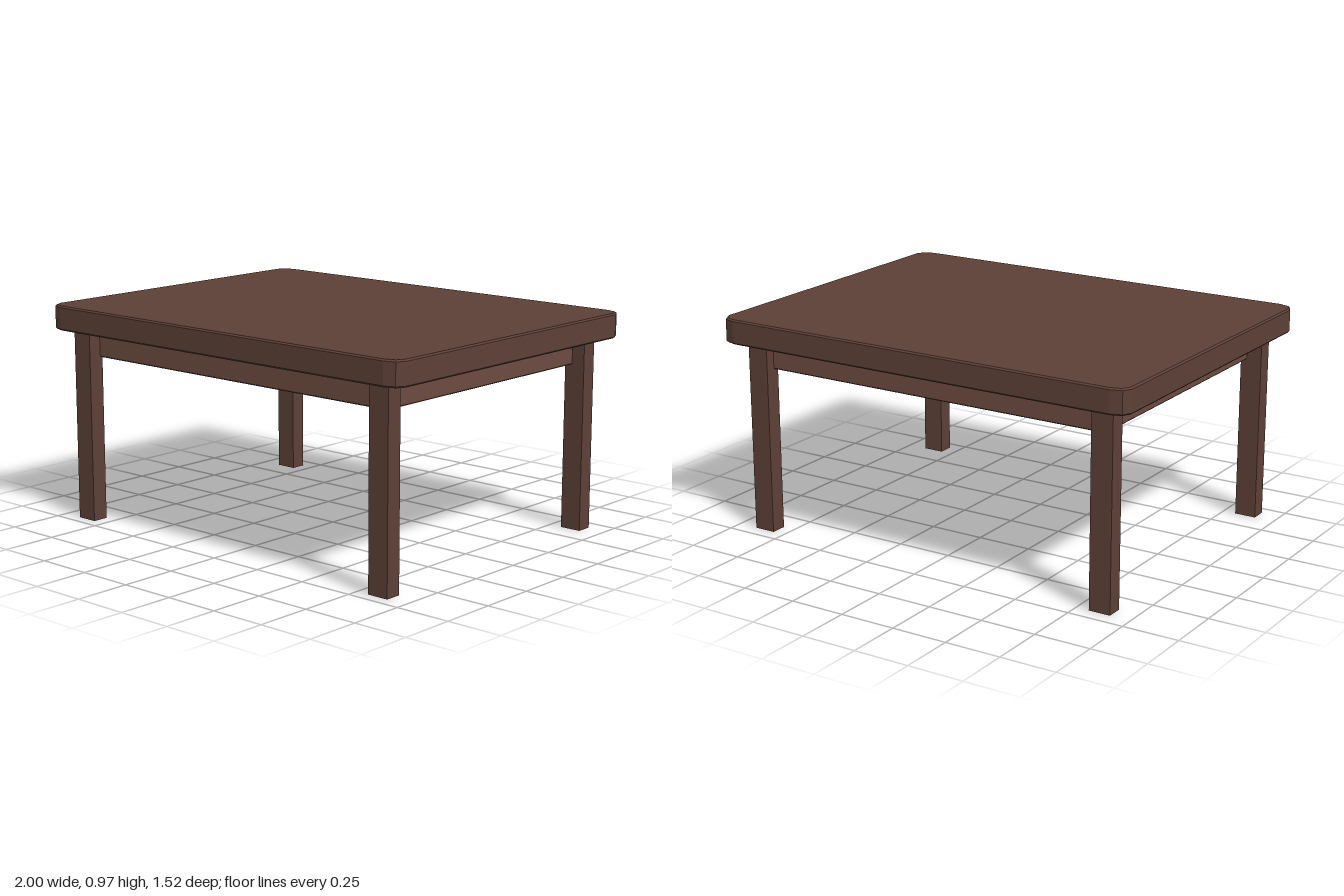
import * as THREE from 'three';

// Rectangle with faceted rounded corners; half sizes hx, hz and corner cuts cx, cz
function roundedOutline(hx, hz, cx, cz, segments) {
  const points = [];
  const corners = [[1, 1, 0], [-1, 1, 1], [-1, -1, 2], [1, -1, 3]];
  for (const [sx, sz, quarter] of corners) {
    for (let i = 0; i <= segments; i++) {
      const a = (quarter + i / segments) * Math.PI / 2;
      points.push(new THREE.Vector2(
        sx * (hx - cx) + cx * Math.cos(a),
        sz * (hz - cz) + cz * Math.sin(a)));
    }
  }
  return points;
}

// Upright slab with softened edges, from y0 to y1
function slab(shape, y0, y1, bevel) {
  const geometry = new THREE.ExtrudeGeometry(shape, {
    depth: y1 - y0 - 2 * bevel, bevelEnabled: true, bevelThickness: bevel,
    bevelSize: bevel, bevelOffset: -bevel, bevelSegments: 1, curveSegments: 1,
  });
  geometry.rotateX(-Math.PI / 2);
  geometry.translate(0, y0 + bevel, 0);
  return geometry;
}

export function createModel() {
  const group = new THREE.Group();
  const darkWood = new THREE.MeshStandardMaterial({ color: 0x5d4037, flatShading: true });
  const lightWood = new THREE.MeshStandardMaterial({ color: 0x6d4c41, flatShading: true });

  const add = (name, geometry, material) => {
    const mesh = new THREE.Mesh(geometry, material);
    mesh.name = name;
    group.add(mesh);
    return mesh;
  };

  // Table top with cut corners
  const topShape = new THREE.Shape(roundedOutline(1, 0.76, 0.07, 0.055, 2));
  add('tableTop', slab(topShape, 0.86, 0.97, 0.007), darkWood);

  // Frame under the top, open in the middle
  const frameShape = new THREE.Shape(roundedOutline(0.85, 0.64, 0.04, 0.04, 2));
  frameShape.holes.push(new THREE.Path(roundedOutline(0.68, 0.53, 0.1, 0.1, 3).reverse()));
  add('apronFrame', slab(frameShape, 0.74, 0.86, 0.005), lightWood);

  // Four square legs
  const legGeometry = new THREE.BoxGeometry(0.098, 0.86, 0.073);
  for (const [side, x] of [['Left', 0.858], ['Right', -0.858]]) {
    for (const [end, z] of [['front', 0.663], ['back', -0.649]]) {
      add(`${end}${side}Leg`, legGeometry, darkWood).position.set(x, 0.43, z);
    }
  }
  return group;
}
